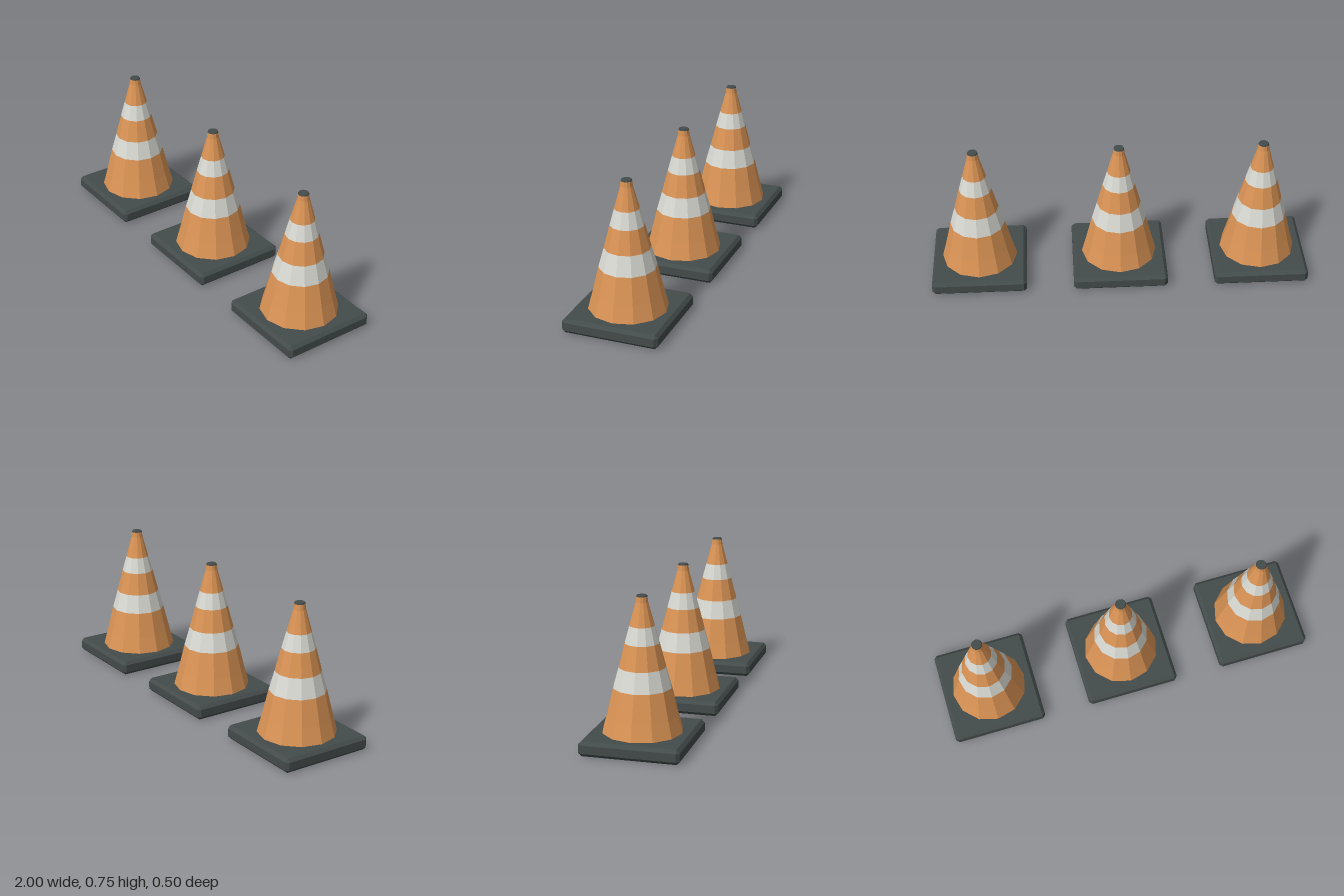
import * as THREE from 'three';
import { ConvexGeometry } from 'three/addons/geometries/ConvexGeometry.js';

const SIDES = 12;

const material = (name, color) => {
  const m = new THREE.MeshStandardMaterial({ color });
  m.name = name;
  return m;
};

// Faceted ring between two heights
function ring([r0, y0], [r1, y1], open = true) {
  const g = new THREE.CylinderGeometry(r1, r0, y1 - y0, SIDES, 1, open).toNonIndexed();
  g.translate(0, (y0 + y1) / 2, 0);
  g.computeVertexNormals();
  return g;
}

// Box with every edge chamfered
function chamferedBox(w, h, d, c) {
  const points = [];
  for (const sx of [-1, 1]) for (const sy of [-1, 1]) for (const sz of [-1, 1])
    for (let axis = 0; axis < 3; axis++) {
      const inset = [c, c, c];
      inset[axis] = 0;
      points.push(new THREE.Vector3(
        sx * (w / 2 - inset[0]), sy * (h / 2 - inset[1]), sz * (d / 2 - inset[2])));
    }
  return new ConvexGeometry(points);
}

export function createModel() {
  const orange = material('orange plastic', 0xdb9455);
  const white = material('reflective white', 0xd9dad3);
  const dark = material('dark rubber', 0x444b4b);

  // Cone outline, bottom to top: radius, height
  const outline = [
    [0.2, 0.074], [0.177, 0.16], [0.144, 0.295], [0.116, 0.395],
    [0.085, 0.513], [0.062, 0.597], [0.031, 0.71], [0.028, 0.738],
  ];
  const sections = [
    ['lowerBody', orange], ['lowerBody', orange], ['lowerStripe', white], ['middleBody', orange],
    ['upperStripe', white], ['upperBody', orange], ['neck', orange],
  ];

  const baseGeometry = chamferedBox(0.5, 0.075, 0.5, 0.0165);
  baseGeometry.translate(0, 0.0375, 0);
  const capGeometry = ring([0.028, 0.738], [0.025, 0.745], false);
  const sectionGeometries = sections.map((_, i) => ring(outline[i], outline[i + 1]));

  const model = new THREE.Group();
  model.name = 'trafficCones';

  // Row of three identical cones
  for (const [name, x] of [['rightCone', -0.75], ['middleCone', 0], ['leftCone', 0.75]]) {
    const cone = new THREE.Group();
    cone.name = name;
    cone.position.x = x;
    const add = (part, geometry, mat) => {
      const mesh = new THREE.Mesh(geometry, mat);
      mesh.name = part;
      cone.add(mesh);
    };
    add('base', baseGeometry, dark);
    sections.forEach(([part, mat], i) => add(part, sectionGeometries[i], mat));
    add('tipCap', capGeometry, dark);
    model.add(cone);
  }
  return model;
}
